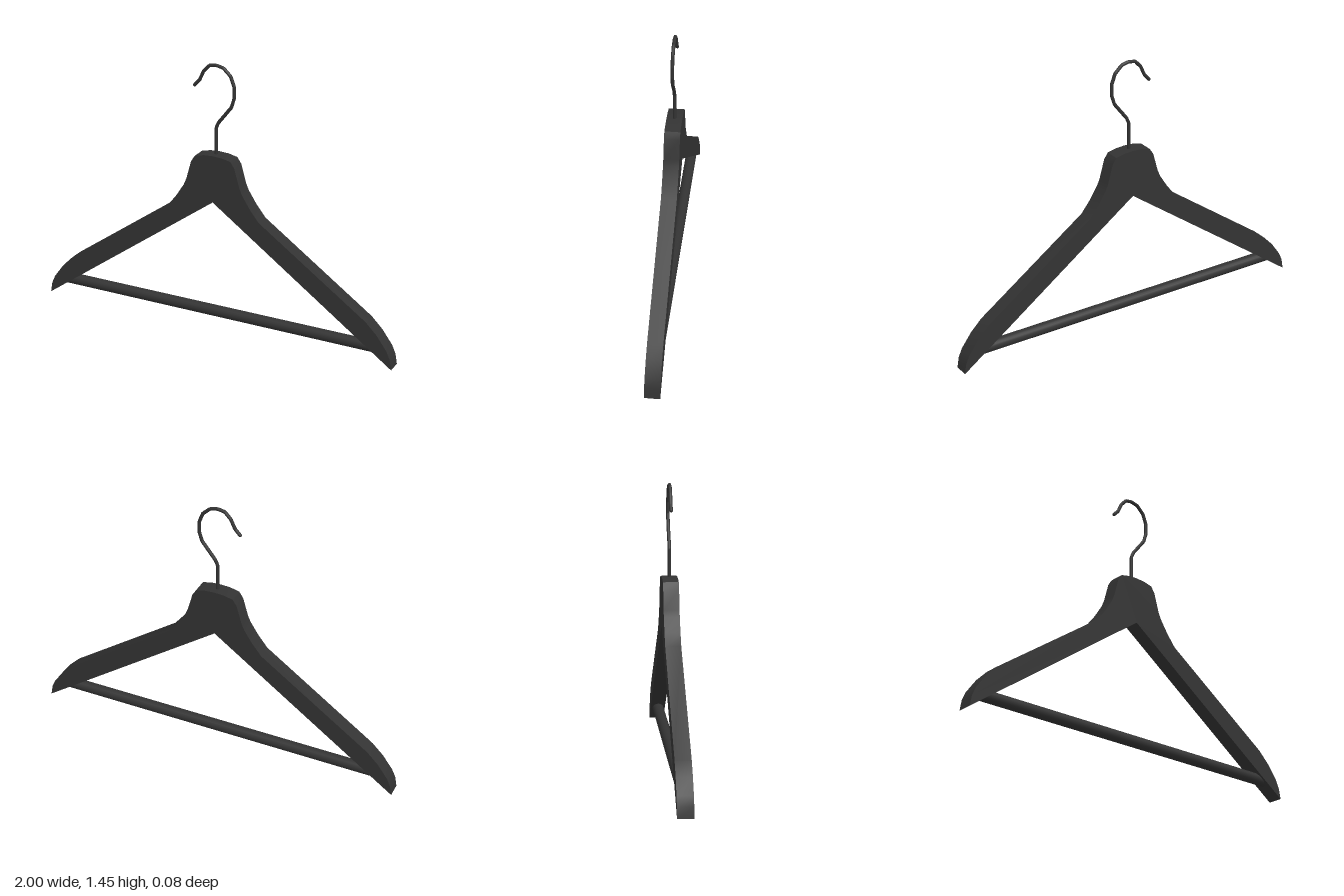
import * as THREE from 'three';
import { toCreasedNormals } from 'three/addons/utils/BufferGeometryUtils.js';

export function createModel() {
  const group = new THREE.Group();
  const material = new THREE.MeshStandardMaterial({ color: 0x333333 });
  const add = (name, geometry) => {
    const mesh = new THREE.Mesh(geometry, material);
    mesh.name = name;
    group.add(mesh);
    return mesh;
  };

  // Shoulder frame: half of the upper outline, mirrored, closed by the inner peak
  const half = [
    [0.05, 0.969], [0.1, 0.958], [0.122, 0.925], [0.15, 0.825], [0.165, 0.79],
    [0.21, 0.72], [0.26, 0.657], [0.855, 0.235], [0.915, 0.175], [0.97, 0.1],
    [0.99, 0.055], [1, 0],
  ];
  const mirrored = half.map(([x, y]) => [-x, y]);
  const outline = [[0, 0.972], ...mirrored, [0, 0.72], ...[...half].reverse()];
  const shape = new THREE.Shape(outline.map(([x, y]) => new THREE.Vector2(x, y)));
  const frame = new THREE.ExtrudeGeometry(shape, { depth: 0.08, bevelEnabled: false });
  frame.translate(0, 0, -0.04);
  add('shoulderFrame', toCreasedNormals(frame, 0.6));

  // Trouser bar, its ends set into the arms
  const bar = add('trouserBar', new THREE.CylinderGeometry(0.03, 0.03, 1.86, 20));
  bar.rotation.z = Math.PI / 2;
  bar.position.y = 0.09;

  // Wire hook, bent in short straight runs
  const bends = [
    [0, 0.95], [0, 1.11], [0.013, 1.14], [0.085, 1.232], [0.1, 1.28], [0.1, 1.34],
    [0.08, 1.393], [0.04, 1.43], [0, 1.439], [-0.038, 1.432], [-0.07, 1.398],
    [-0.092, 1.35], [-0.12, 1.32],
  ].map(([x, y]) => new THREE.Vector3(x, y, 0));
  const wire = new THREE.CatmullRomCurve3(bends, false, 'catmullrom', 0);
  add('hook', new THREE.TubeGeometry(wire, 90, 0.009, 8));

  // Round cap on the free end of the wire
  add('hookTip', new THREE.SphereGeometry(0.009, 8, 6)).position.copy(bends[bends.length - 1]);

  return group;
}
